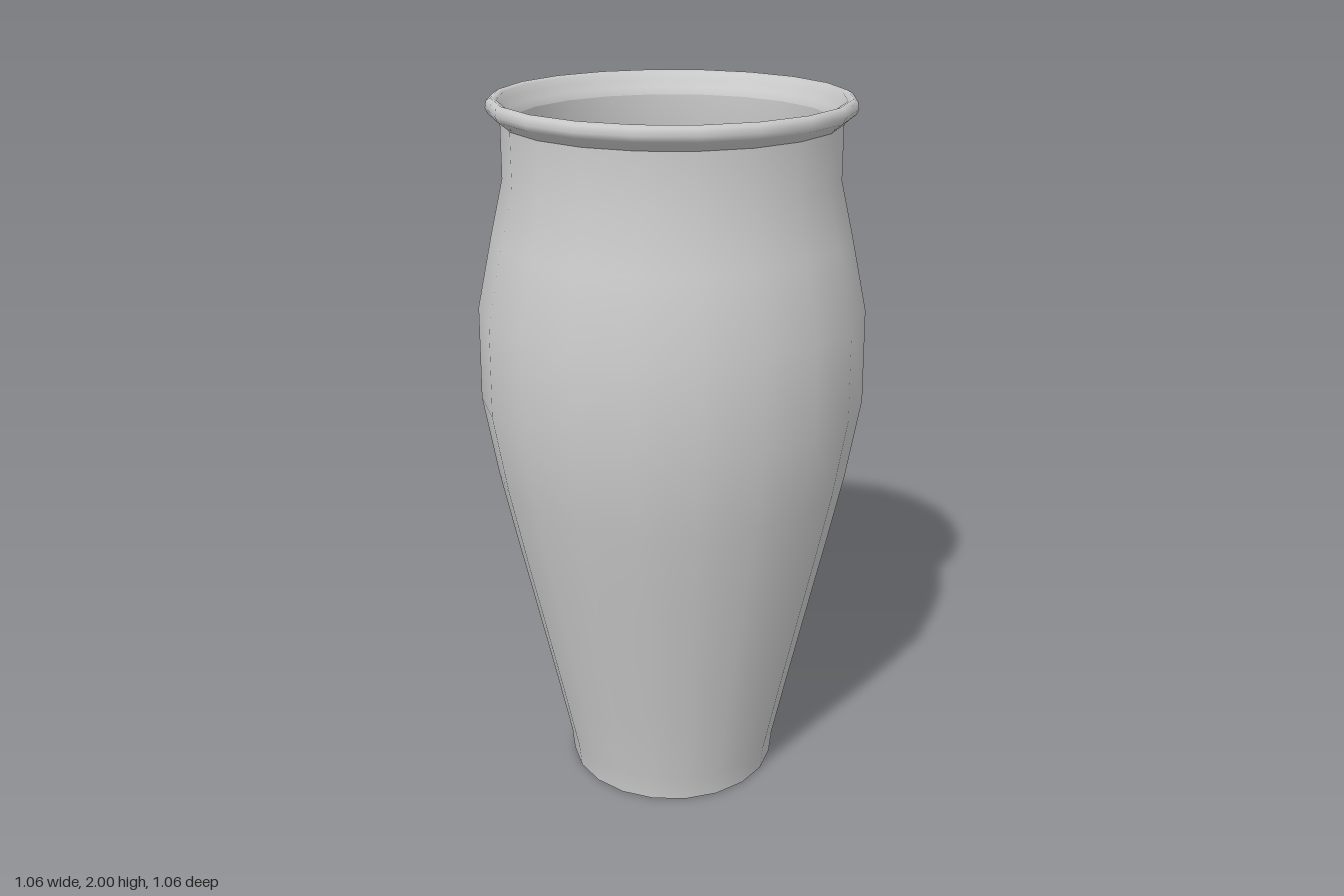
import * as THREE from 'three';

const SIDES = 20;
const HALF = Math.PI / SIDES;

export function createModel() {
  const group = new THREE.Group();
  group.name = 'vase';
  const material = new THREE.MeshStandardMaterial({ color: 0xcccccc });

  // Revolve [flat-to-centre radius, height] points, with flats facing the axes
  function addLathe(name, profile) {
    const points = profile.map(([r, y]) => new THREE.Vector2(r / Math.cos(HALF), y));
    const mesh = new THREE.Mesh(new THREE.LatheGeometry(points, SIDES, HALF), material);
    mesh.name = name;
    group.add(mesh);
  }

  // Underside of the foot
  addLathe('base', [[0, 0], [0.302, 0]]);

  // Outer body from foot to neck
  addLathe('outerWall', [
    [0.302, 0], [0.309, 0.07], [0.352, 0.28], [0.415, 0.58], [0.447, 0.73], [0.492, 0.95],
    [0.529, 1.18], [0.525, 1.44], [0.482, 1.64], [0.447, 1.79], [0.446, 1.935],
  ]);

  // Rolled lip
  addLathe('rim', [
    [0.446, 1.935], [0.456, 1.945], [0.476, 1.961], [0.482, 1.975], [0.479, 1.993],
    [0.467, 2], [0.453, 1.994], [0.449, 1.975], [0.432, 1.955], [0.425, 1.935],
  ]);

  // Hollow interior, following the body
  addLathe('innerWall', [
    [0.425, 1.935], [0.426, 1.79], [0.461, 1.64], [0.504, 1.44], [0.508, 1.18], [0.471, 0.95],
    [0.426, 0.73], [0.394, 0.58], [0.331, 0.28], [0.289, 0.07], [0.285, 0.02],
  ]);

  // Floor inside the vase
  addLathe('floor', [[0.285, 0.02], [0, 0.02]]);

  return group;
}
